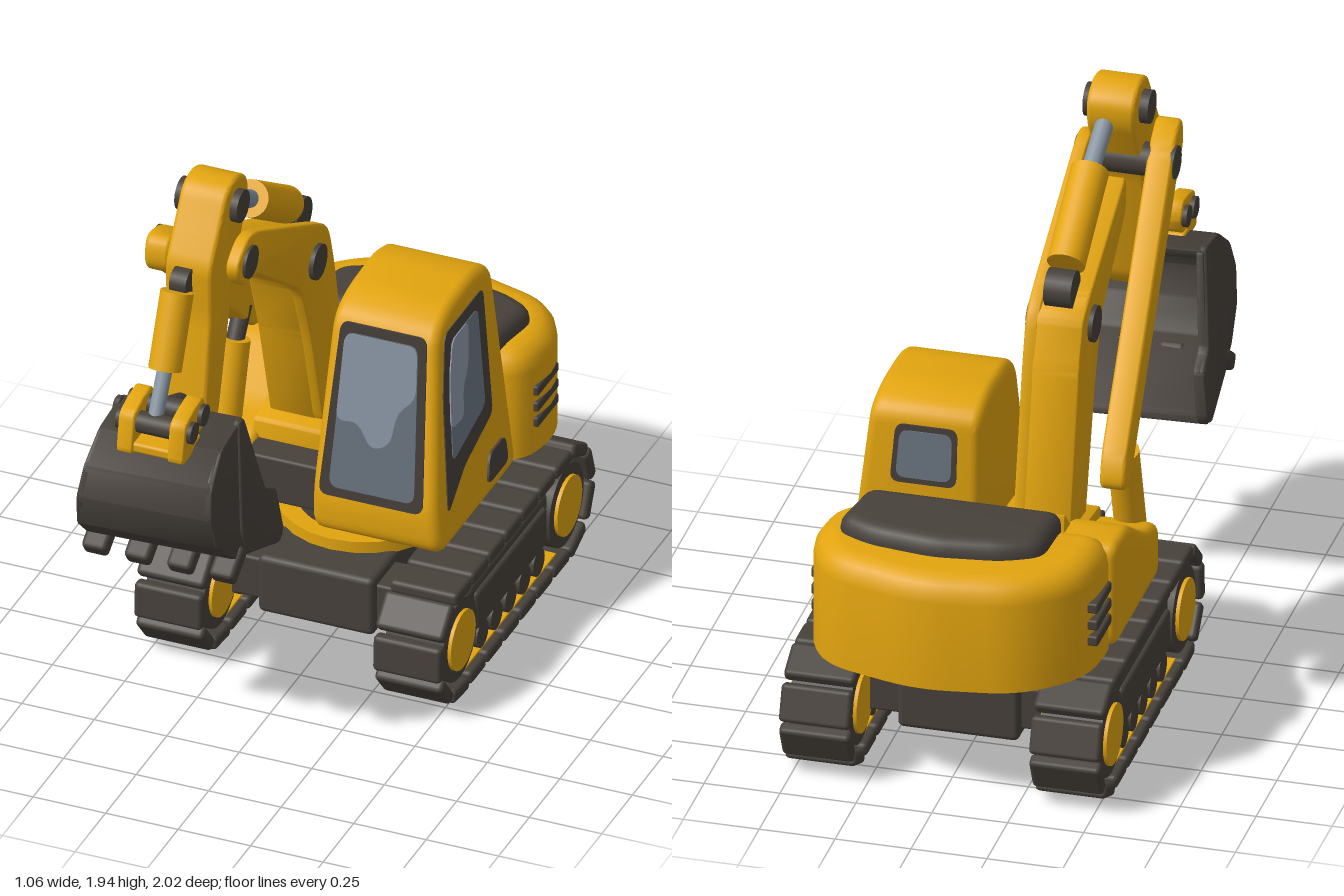
import * as THREE from 'three';
import { toCreasedNormals } from 'three/addons/utils/BufferGeometryUtils.js';
import { RoundedBoxGeometry } from 'three/addons/geometries/RoundedBoxGeometry.js';

const paint = (name, color) => Object.assign(new THREE.MeshStandardMaterial({ color }), { name });

export function createModel() {
  const yellow = paint('yellow paint', 0xe2a40f);
  const dark = paint('dark rubber', 0x47413b);
  const glass = paint('glass', 0x6c7683);
  const shine = paint('glass shine', 0x8f9baa);
  const steel = paint('steel', 0x8794a1);
  const model = new THREE.Group();
  model.name = 'excavator';

  const add = (parent, name, geo, mat) => {
    const m = new THREE.Mesh(geo, mat);
    m.name = name;
    parent.add(m);
    return m;
  };
  const group = (name) => {
    const g = new THREE.Group();
    g.name = name;
    model.add(g);
    return g;
  };
  // polygon with rounded corners
  const rounded = (pts, r = 0.02) => {
    const s = new THREE.Shape();
    const v = pts.map((p) => new THREE.Vector2(p[0], p[1]));
    v.forEach((p, i) => {
      const a = v[(i + v.length - 1) % v.length], b = v[(i + 1) % v.length];
      const toward = (q) => p.clone().lerp(q, Math.min(0.45, r / p.distanceTo(q)));
      const s0 = toward(a), s1 = toward(b);
      if (i) s.lineTo(s0.x, s0.y); else s.moveTo(s0.x, s0.y);
      s.quadraticCurveTo(p.x, p.y, s1.x, s1.y);
    });
    s.closePath();
    return s;
  };
  const extrude = (shape, depth, bevel) => new THREE.ExtrudeGeometry(shape, {
    depth: depth - 2 * bevel, bevelEnabled: bevel > 0, bevelSize: bevel, bevelThickness: bevel,
    bevelOffset: -bevel, bevelSegments: 4, curveSegments: 6,
  }).translate(0, 0, bevel);
  const warp = (geo, fn) => {
    const p = geo.attributes.position;
    const v = new THREE.Vector3();
    for (let i = 0; i < p.count; i++) {
      fn(v.fromBufferAttribute(p, i));
      p.setXYZ(i, v.x, v.y, v.z);
    }
    return geo;
  };
  const smooth = (geo) => toCreasedNormals(geo, 0.7);
  // side profile [z, y] spanning x0..x1
  const sideGeo = (pts, x0, x1, { r = 0.02, bevel = 0.01, fn = () => {} } = {}) =>
    smooth(warp(extrude(rounded(pts, r), x1 - x0, bevel).rotateY(-Math.PI / 2).translate(x1, 0, 0), fn));
  // plan outline [x, z] spanning y0..y1, cut flat at floor
  const planGeo = (pts, y0, y1, r, bevel, floor) =>
    smooth(warp(extrude(rounded(pts.map(([x, z]) => [x, -z]), r), y1 - y0, bevel)
      .rotateX(-Math.PI / 2).translate(0, y0, 0), (v) => { v.y = Math.max(v.y, floor); }));
  const tube = (parent, name, a, b, r, mat) => {
    const A = new THREE.Vector3(...a), B = new THREE.Vector3(...b);
    const m = add(parent, name, new THREE.CylinderGeometry(r, r, A.distanceTo(B), 24), mat);
    m.position.copy(A).lerp(B, 0.5);
    m.quaternion.setFromUnitVectors(new THREE.Vector3(0, 1, 0), B.sub(A).normalize());
  };
  const pin = (parent, name, z, y, x0, x1, r, mat = dark) => tube(parent, name, [x0, y, z], [x1, y, z], r, mat);
  const box = (parent, name, x0, x1, y0, y1, z0, z1, mat, r = 0.01) => {
    const g = new RoundedBoxGeometry(x1 - x0, y1 - y0, z1 - z0, 2, r);
    add(parent, name, g.translate((x0 + x1) / 2, (y0 + y1) / 2, (z0 + z1) / 2), mat);
  };

  // tracks: pads spaced along a stadium path around two wheels
  const zf = 0.16, zb = -0.71, R = 0.18, straight = zf - zb, total = 2 * straight + 2 * Math.PI * R;
  const padGeo = new RoundedBoxGeometry(0.235, 0.046, 0.126, 2, 0.015);
  for (const s of [1, -1]) {
    const t = group(s > 0 ? 'leftTrack' : 'rightTrack');
    const cx = s * 0.412, count = 21;
    for (let i = 0; i < count; i++) {
      let d = (i / count) * total, z, y, a;
      const arc = Math.PI * R;
      if (d < straight) [z, y, a] = [zf - d, 0.208 + R, 0];
      else if ((d -= straight) < arc) { a = d / R; z = zb - R * Math.sin(a); y = 0.208 + R * Math.cos(a); }
      else if ((d -= arc) < straight) [z, y, a] = [zb + d, 0.208 - R, Math.PI];
      else { a = Math.PI + (d - straight) / R; z = zf - R * Math.sin(a); y = 0.208 + R * Math.cos(a); }
      const pad = add(t, 'trackPad', padGeo, dark);
      pad.position.set(cx, y, z);
      pad.rotation.x = -a;
    }
    for (const z of [zf, zb]) {
      pin(t, 'wheel', z, 0.208, cx - 0.1, cx + 0.1, 0.142);
      pin(t, 'wheelHub', z, 0.208, cx - 0.112, cx + 0.112, 0.102, yellow);
    }
    for (let i = 0; i < 5; i++) pin(t, 'roller', -0.05 - i * 0.115, 0.105, cx - 0.09, cx + 0.09, 0.047);
    box(t, 'trackFrame', cx - 0.085, cx + 0.085, 0.13, 0.32, -0.6, 0.04, dark, 0.02);
    box(t, 'framePanel', cx - 0.1, cx + 0.1, 0.15, 0.29, -0.56, 0.01, dark, 0.015);
    box(t, 'lowerStrip', cx - 0.09, cx + 0.09, 0.052, 0.06, -0.65, 0.1, yellow, 0.002);
  }

  // chassis and slewing ring
  const base = group('undercarriage');
  box(base, 'chassis', -0.2, 0.2, 0.12, 0.33, -0.69, 0.13, dark, 0.02);
  for (const z of [0.02, -0.57]) box(base, 'crossMember', -0.36, 0.36, 0.15, 0.3, z - 0.08, z + 0.08, dark);
  tube(base, 'swingRing', [0, 0.325, -0.28], [0, 0.37, -0.28], 0.285, yellow);
  tube(base, 'turntable', [0, 0.36, -0.27], [0, 0.47, -0.27], 0.212, dark);

  // house: counterweight, hood, right flank and boom mount
  const house = group('house');
  add(house, 'counterweight', planGeo([[-0.48, -0.52], [0.43, -0.52], [0.475, -0.74], [0.38, -0.93],
    [0.05, -1.02], [-0.28, -0.97], [-0.46, -0.8]], 0.36, 0.84, 0.11, 0.08, 0.45), yellow);
  add(house, 'engineHood', planGeo([[-0.31, -0.53], [0.34, -0.53], [0.38, -0.76], [0.26, -0.82],
    [0.04, -0.85], [-0.18, -0.82], [-0.3, -0.76]], 0.74, 0.9, 0.05, 0.05, 0.45), dark);
  add(house, 'sideFlank', sideGeo([[-0.06, 0.45], [-0.06, 0.64], [-0.2, 0.67], [-0.42, 0.81], [-0.6, 0.82],
    [-0.6, 0.45]], -0.495, -0.29, { r: 0.05, bevel: 0.03 }), yellow);
  add(house, 'boomMount', sideGeo([[-0.1, 0.45], [-0.1, 0.69], [-0.37, 0.72], [-0.53, 0.88], [-0.55, 0.45]],
    -0.31, -0.02, { bevel: 0.005 }), yellow);
  box(house, 'mountPanel', -0.3, -0.03, 0.455, 0.62, -0.4, 0.0, dark);
  for (const [x0, x1] of [[0.41, 0.462], [-0.484, -0.43]]) {
    for (const y of [0.565, 0.622, 0.682]) box(house, 'ventSlot', x0, x1, y - 0.018, y + 0.018, -0.77, -0.6, dark, 0.008);
  }

  // cab, narrowing towards the roof on its outer side
  const cab = group('cab');
  const taper = (v) => { v.x = -0.03 + (v.x + 0.03) * (1 - 0.27 * Math.max(0, v.y - 0.45)); };
  add(cab, 'cabShell', sideGeo([[0.1, 0.45], [0.1, 0.6], [-0.075, 1.165], [-0.18, 1.21], [-0.4, 1.22],
    [-0.53, 1.18], [-0.53, 0.45]], -0.03, 0.425, { r: 0.06, bevel: 0.04, fn: taper }), yellow);
  const doorPane = (name, pts, lift, mat, r = 0.03) =>
    add(cab, name, sideGeo(pts, 0.42, 0.425 + lift, { r, bevel: 0, fn: taper }), mat);
  doorPane('doorFrame', [[0.02, 0.57], [-0.05, 0.95], [-0.12, 1.145], [-0.43, 1.145], [-0.385, 0.72], [-0.14, 0.66]], 0.004, dark);
  doorPane('doorGlass', [[-0.055, 0.72], [-0.11, 1.0], [-0.16, 1.105], [-0.37, 1.105], [-0.335, 0.775]], 0.007, glass);
  doorPane('doorShine', [[-0.07, 0.83], [-0.11, 1.0], [-0.16, 1.105], [-0.29, 1.105], [-0.25, 0.97], [-0.19, 0.91], [-0.17, 0.82]], 0.009, shine);
  doorPane('doorHandle', [[-0.28, 0.51], [-0.32, 0.6], [-0.445, 0.6], [-0.445, 0.51]], 0.008, dark);
  const flatPane = (name, pts, lift, mat, zAt) => add(cab, name, warp(extrude(rounded(pts, 0.035), 0.006, 0),
    (v) => { v.z += zAt(v.y) + lift; taper(v); }), mat);
  const front = (y) => 0.1 - 0.31 * (y - 0.6);
  flatPane('windscreenFrame', [[0, 0.6], [0.375, 0.6], [0.38, 1.15], [0.015, 1.15]], -0.002, dark, front);
  flatPane('windscreen', [[0.035, 0.63], [0.345, 0.63], [0.345, 1.12], [0.04, 1.12]], 0.001, glass, front);
  flatPane('windscreenShine', [[0.037, 0.84], [0.038, 1.118], [0.343, 1.118], [0.343, 0.96], [0.27, 0.9],
    [0.25, 0.8], [0.18, 0.77], [0.12, 0.85]], 0.003, shine, front);
  flatPane('rearFrame', [[0.06, 0.92], [0.31, 0.92], [0.31, 1.13], [0.06, 1.13]], -0.004, dark, () => -0.53);
  flatPane('rearGlass', [[0.08, 0.94], [0.29, 0.94], [0.29, 1.11], [0.08, 1.11]], -0.007, glass, () => -0.53);

  // boom: cheek plate, hollow-looking core and long outer strut
  const boom = group('boom');
  add(boom, 'boomCheek', sideGeo([[0.47, 1.735], [0.56, 1.67], [0.5, 1.57], [0.4, 1.575], [0.02, 1.29], [-0.06, 1.07],
    [-0.17, 0.66], [-0.37, 0.66], [-0.25, 1.24], [-0.2, 1.41], [-0.1, 1.47], [0.4, 1.73]], -0.135, -0.09, { r: 0.06 }), yellow);
  add(boom, 'boomCore', sideGeo([[0.32, 1.66], [0.32, 1.53], [0.02, 1.3], [-0.06, 1.07],
    [-0.17, 0.66], [-0.37, 0.66], [-0.25, 1.24], [-0.2, 1.4], [-0.1, 1.455]], -0.28, -0.12, { r: 0.03 }), yellow);
  add(boom, 'boomStrut', sideGeo([[0.59, 1.76], [0.61, 1.64], [0.5, 1.58], [-0.3, 0.89], [-0.41, 0.91], [-0.38, 1.02], [0.45, 1.72]],
    -0.4, -0.315, { r: 0.06, bevel: 0.015, fn: (v) => { v.x += 0.08 * (v.z - 0.5); } }), yellow);
  pin(boom, 'elbowPin', 0.455, 1.65, -0.41, -0.08, 0.055);
  pin(boom, 'boomPin', -0.09, 1.335, -0.295, -0.075, 0.06);
  tube(boom, 'liftBarrel', [-0.4, 0.58, -0.06], [-0.4, 0.93, -0.16], 0.052, yellow);
  tube(boom, 'liftRod', [-0.4, 0.9, -0.15], [-0.4, 1.02, -0.23], 0.03, dark);
  pin(boom, 'ramKnuckle', -0.13, 1.47, -0.235, -0.145, 0.062);
  tube(boom, 'upperRamBarrel', [-0.19, 1.53, -0.08], [-0.19, 1.72, 0.21], 0.062, yellow);
  tube(boom, 'upperRamRod', [-0.19, 1.7, 0.18], [-0.2, 1.84, 0.4], 0.03, steel);

  // dipper arm with its ram
  const arm = group('arm');
  add(arm, 'dipperArm', sideGeo([[0.34, 1.9], [0.42, 1.945], [0.51, 1.93], [0.56, 1.85], [0.65, 1.71], [0.645, 1.52],
    [0.695, 1.2], [0.65, 1.08], [0.58, 1.14], [0.46, 1.58], [0.34, 1.82]], -0.3, -0.14, { r: 0.04, bevel: 0.015 }), yellow);
  pin(arm, 'armTopPin', 0.445, 1.845, -0.33, -0.115, 0.055);
  pin(arm, 'ramMount', 0.66, 1.66, -0.262, -0.205, 0.045);
  tube(arm, 'armRamBarrel', [-0.235, 1.645, 0.7], [-0.235, 1.41, 0.8], 0.054, yellow);
  tube(arm, 'armRamRod', [-0.235, 1.43, 0.79], [-0.235, 1.26, 0.885], 0.025, steel);

  // bucket linkage
  const link = group('linkage');
  for (const [x0, x1] of [[-0.34, -0.285], [-0.165, -0.11]]) {
    add(link, 'linkPlate', sideGeo([[0.955, 1.16], [0.93, 1.3], [0.86, 1.32], [0.78, 1.33], [0.755, 1.28],
      [0.78, 1.21], [0.84, 1.21], [0.87, 1.16]], x0, x1, { r: 0.025, bevel: 0.008 }), yellow);
  }
  box(link, 'linkBase', -0.34, -0.11, 1.165, 1.2, 0.8, 0.94, yellow);
  pin(link, 'linkPin', 0.89, 1.255, -0.355, -0.095, 0.036);
  pin(link, 'linkPin', 0.8, 1.27, -0.355, -0.095, 0.036);
  tube(link, 'linkArm', [-0.225, 1.27, 0.8], [-0.225, 1.2, 0.64], 0.035, dark);

  // bucket: curved shell, cheeks and teeth, wider at the lip
  const bucket = group('bucket');
  const flare = (v) => {
    const dx = (v.x + 0.225) * (1 - 0.41 * (v.y - 0.7));
    v.x = -0.225 + dx;
    v.z -= dx * 0.05;
  };
  const outer = [[0.68, 1.21], [0.86, 1.185], [0.965, 1.1], [1.0, 1.0], [0.965, 0.88], [0.86, 0.785], [0.53, 0.665]];
  const inner = [[0.54, 0.7], [0.84, 0.82], [0.93, 0.9], [0.965, 1.0], [0.93, 1.08], [0.85, 1.145], [0.69, 1.175]];
  add(bucket, 'bucketShell', sideGeo([...outer, ...inner], -0.475, 0.025, { r: 0.01, bevel: 0.003, fn: flare }), dark);
  const cheek = [...outer, [0.5, 0.7], [0.52, 0.86], [0.595, 0.9]];
  for (const x of [-0.485, 0.005]) add(bucket, 'bucketCheek', sideGeo(cheek, x, x + 0.03, { r: 0.02, bevel: 0.006, fn: flare }), dark);
  const rim = [[0.73, 1.215], [0.69, 1.215], [0.595, 0.9], [0.52, 0.86], [0.5, 0.7], [0.54, 0.67], [0.77, 0.76], [0.8, 0.85]];
  for (const x of [-0.495, 0.015]) add(bucket, 'cheekRim', sideGeo(rim, x, x + 0.03, { r: 0.02, bevel: 0.008, fn: flare }), dark);
  for (const x of [-0.445, -0.298, -0.152, -0.005]) {
    const tooth = add(bucket, 'bucketTooth', new RoundedBoxGeometry(0.085, 0.06, 0.12, 2, 0.015), dark);
    tooth.position.set(x, 0.755, 0.83);
    tooth.rotation.x = 0.6;
  }
  return model;
}
